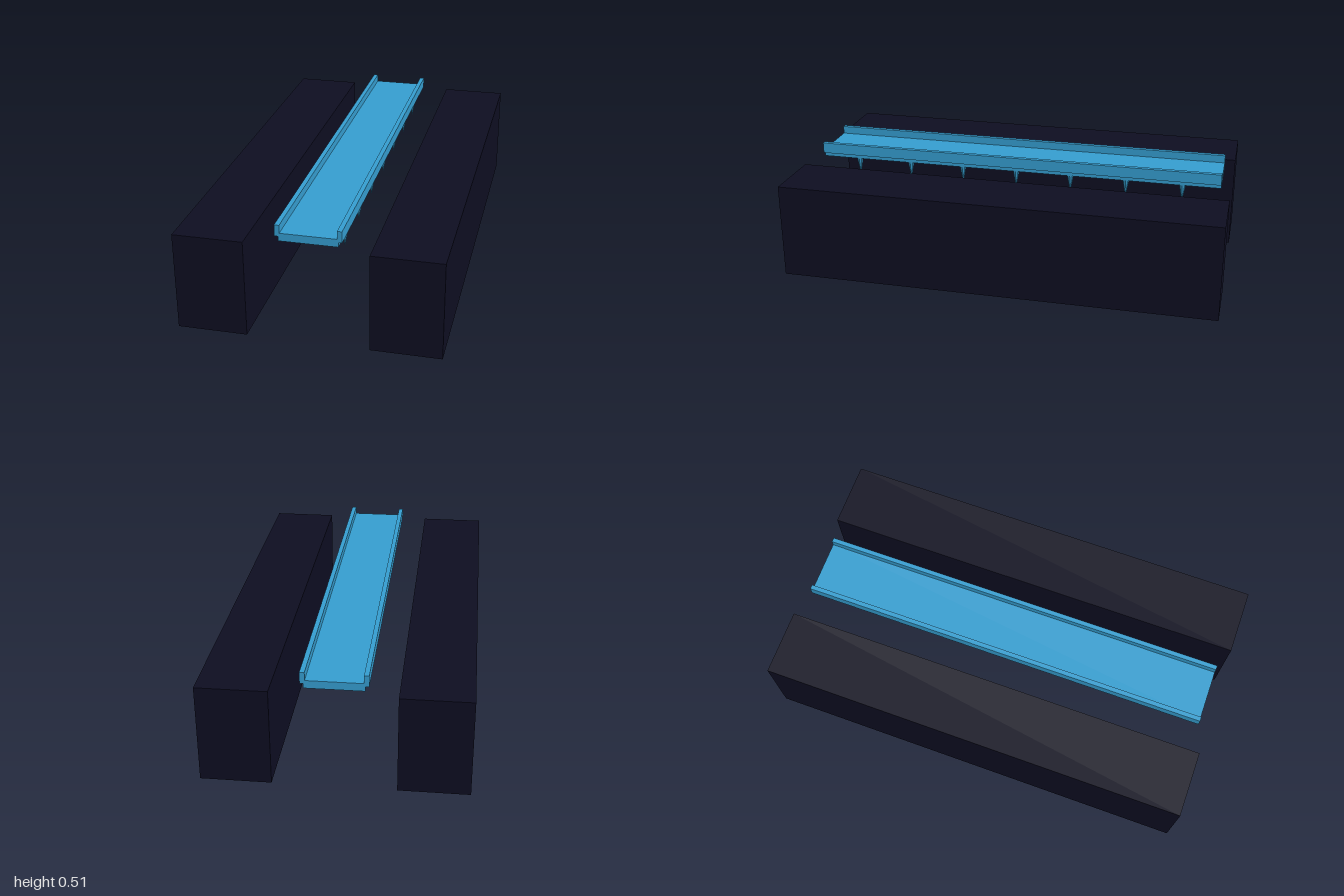
import * as THREE from 'three';

export function createModel() {
  const model = new THREE.Group();
  const darkNavy = new THREE.MeshStandardMaterial({ name: 'dark navy', color: 0x0d0d21 });
  const iceBlue = new THREE.MeshStandardMaterial({ name: 'ice blue', color: 0x359dcf });
  const spikeBlue = iceBlue;

  function add(name, geometry, material, x, y, z = 0) {
    const mesh = new THREE.Mesh(geometry, material);
    mesh.name = name;
    mesh.position.set(x, y, z);
    model.add(mesh);
    return mesh;
  }

  // Bridge deck
  add('deck', new THREE.BoxGeometry(0.25, 0.035, 1.91), iceBlue, 0, 0.453);

  // Icicle, faceted, pointing down
  const icicle = new THREE.ConeGeometry(0.016, 0.086, 8).toNonIndexed();
  icicle.rotateX(Math.PI);
  icicle.computeVertexNormals();

  for (const side of [-1, 1]) {
    const label = side > 0 ? 'left' : 'right';
    // Side bank, kerb and row of icicles
    add(label + 'Bank', new THREE.BoxGeometry(0.303, 0.436, 2), darkNavy, side * 0.4135, 0.218);
    add(label + 'Kerb', new THREE.BoxGeometry(0.021, 0.05, 1.91), iceBlue, side * 0.13, 0.481);
    for (let i = -3; i <= 3; i++) {
      add(label + 'Icicle', icicle, spikeBlue, side * 0.109, 0.393, i * 0.26);
    }
  }
  return model;
}
